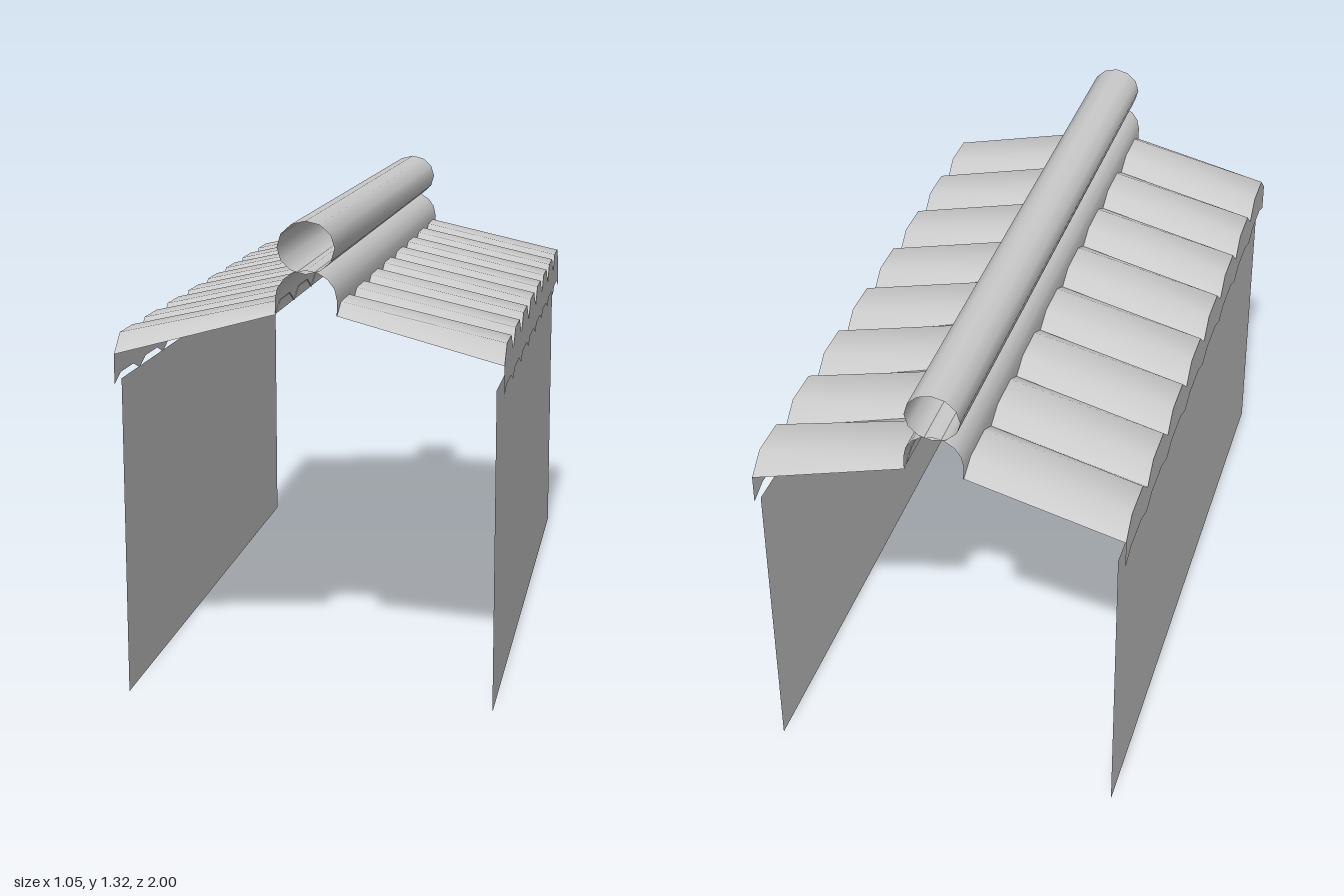
import * as THREE from 'three';

const grey = new THREE.MeshStandardMaterial({ color: 0xcccccc, side: THREE.DoubleSide });

// Open sheet stretched between two polylines with equal point counts
function sheet(name, rowA, rowB) {
  const n = rowA.length, index = [];
  for (let i = 0; i < n - 1; i++) index.push(i, n + i, i + 1, i + 1, n + i, n + i + 1);
  const geo = new THREE.BufferGeometry();
  geo.setAttribute('position', new THREE.Float32BufferAttribute([...rowA, ...rowB].flat(), 3));
  geo.setIndex(index);
  geo.computeVertexNormals();
  const mesh = new THREE.Mesh(geo, grey);
  mesh.name = name;
  return mesh;
}

const TILES = 8, PITCH = 2 / TILES;
const EAVE_X = 0.525, RIDGE_X = 0.08, WALL_X = 0.505, WALL_TOP = 0.885;

// Hump of one tile across z: low at both edges, flat on top
const humpRow = (x, low, high, z0, flip) => {
  const row = [[0, low], [0.25, high], [0.75, high], [1, low]]
    .map(([t, y]) => [x, y, z0 + t * PITCH]);
  return flip ? row.reverse() : row;
};

// Ridge piece: an (x, y) section run along the whole length
function ridge(name, section) {
  return sheet(name, section.map(([x, y]) => [x, y, 1]), section.map(([x, y]) => [x, y, -1]));
}

function arc(cy, rx, ry, from, to, steps) {
  return Array.from({ length: steps + 1 }, (_, i) => {
    const a = from + (to - from) * i / steps;
    return [rx * Math.cos(a), cy + ry * Math.sin(a)];
  });
}

export function createModel() {
  const model = new THREE.Group();

  for (const s of [1, -1]) {
    const side = new THREE.Group();
    side.name = s > 0 ? 'leftSide' : 'rightSide';
    const flip = s < 0;

    // Wall
    const wall = new THREE.Mesh(new THREE.PlaneGeometry(2, WALL_TOP), grey);
    wall.name = 'wall';
    wall.rotation.y = s * Math.PI / 2;
    wall.position.set(s * WALL_X, WALL_TOP / 2, 0);
    side.add(wall);

    // Roof tiles and the scalloped drop along the eave
    for (let i = 0; i < TILES; i++) {
      const z0 = -1 + i * PITCH;
      const top = humpRow(s * RIDGE_X, 1.07, 1.1, z0, flip);
      const eave = humpRow(s * EAVE_X, 0.95, 1.0, z0, flip);
      const drop = humpRow(s * EAVE_X, 0.867, 0.89, z0, flip);
      // rows run so that the outer face is the front
      side.add(sheet('roofTile', eave, top), sheet('eaveTrim', drop, eave));
    }
    for (const mesh of side.children) {
      if (mesh.name === 'wall') continue;
      // turn the winding outward
      const idx = mesh.geometry.index.array;
      for (let k = 0; k < idx.length; k += 3) [idx[k], idx[k + 1]] = [idx[k + 1], idx[k]];
      mesh.geometry.computeVertexNormals();
    }
    model.add(side);
  }

  // Lower ridge arch, open underneath
  const arch = arc(1.11, 0.083, 0.078, 0, Math.PI, 8);
  model.add(ridge('lowerRidge', [[0.083, 1.07], ...arch, [-0.083, 1.07]]));

  // Upper ridge tube, open at both ends
  model.add(ridge('upperRidge', arc(1.248, 0.077, 0.07, -Math.PI / 2, Math.PI * 1.5, 12)));

  return model;
}
